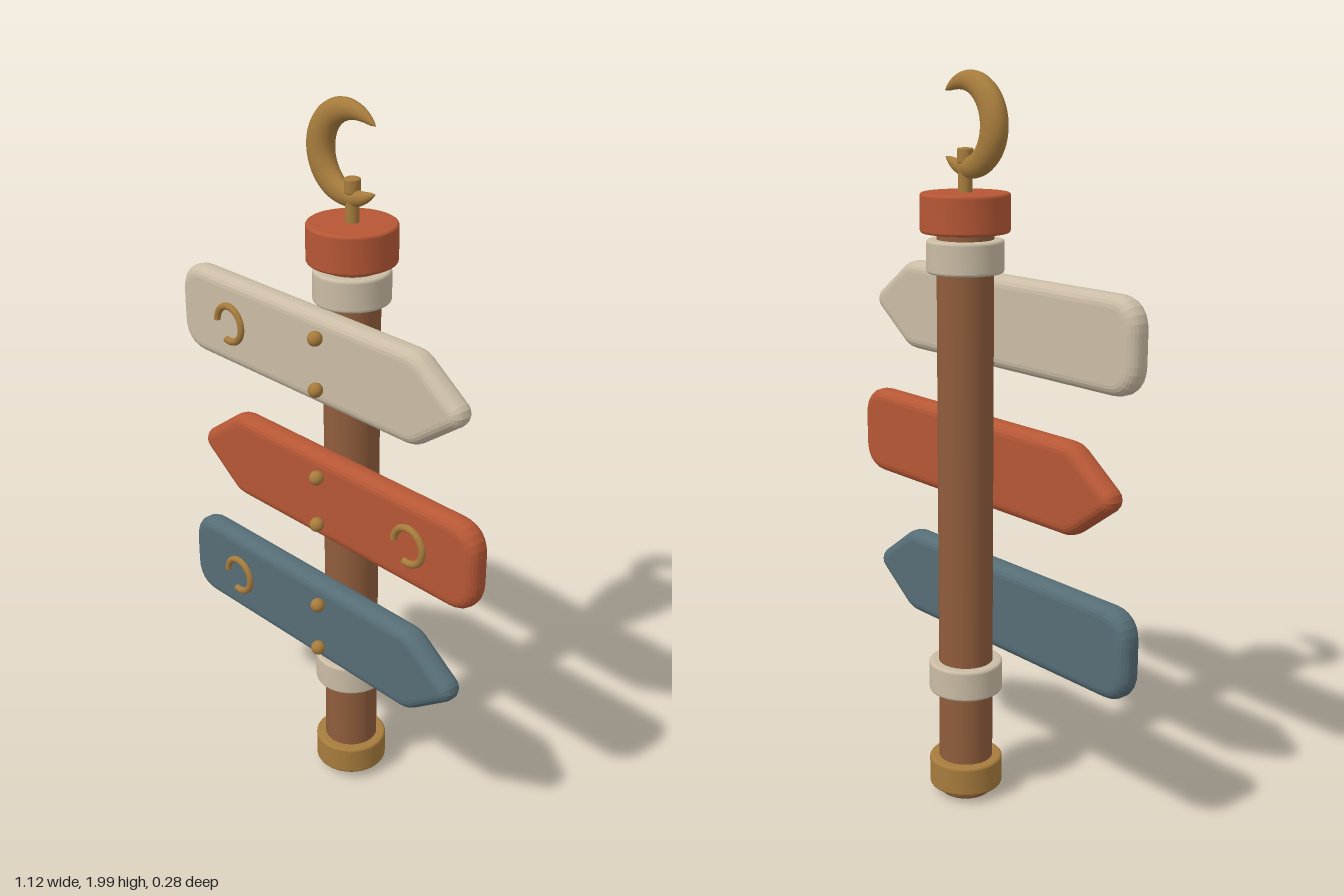
import * as THREE from 'three';
import { toCreasedNormals } from 'three/addons/utils/BufferGeometryUtils.js';

const POST_Z = -0.022;

function material(name, color) {
  const m = new THREE.MeshStandardMaterial({ color });
  m.name = name;
  return m;
}

// Upright cylinder with softly rounded rims
function roundedDrum(radius, y0, y1, bevel) {
  const pts = [new THREE.Vector2(0, y0)];
  for (let i = 0; i <= 4; i++) {
    const a = (i / 4) * Math.PI / 2;
    pts.push(new THREE.Vector2(radius - bevel + bevel * Math.sin(a), y0 + bevel - bevel * Math.cos(a)));
  }
  for (let i = 0; i <= 4; i++) {
    const a = (i / 4) * Math.PI / 2;
    pts.push(new THREE.Vector2(radius - bevel + bevel * Math.cos(a), y1 - bevel + bevel * Math.sin(a)));
  }
  pts.push(new THREE.Vector2(0, y1));
  return toCreasedNormals(new THREE.LatheGeometry(pts, 48), 0.18);
}

// Arrow board: rounded butt on one side, point on the other (dir = +1 points to +x)
function arrowBoard(dir) {
  const b = 0.03, h = 0.095, left = -0.528, r = 0.055;
  const s = new THREE.Shape();
  s.moveTo(left + r, -h);
  s.lineTo(0.31, -h);
  s.quadraticCurveTo(0.332, -h, 0.348, -h + 0.013);
  s.lineTo(0.45, -0.008);
  s.quadraticCurveTo(0.464, 0, 0.45, 0.008);
  s.lineTo(0.348, h - 0.013);
  s.quadraticCurveTo(0.332, h, 0.31, h);
  s.lineTo(left + r, h);
  s.quadraticCurveTo(left, h, left, h - r);
  s.lineTo(left, -h + r);
  s.quadraticCurveTo(left, -h, left + r, -h);
  const geo = new THREE.ExtrudeGeometry(s, {
    depth: 0.01, bevelEnabled: true, bevelSize: b, bevelThickness: b, bevelSegments: 5, curveSegments: 6,
  });
  geo.translate(0, 0, -0.005);
  if (dir < 0) geo.rotateY(Math.PI);
  return geo;
}

// Crescent: elliptical cross-sections swept round an arc, tapering to both tips
function crescent() {
  const rings = 56, sides = 20, pos = [], idx = [];
  const start = THREE.MathUtils.degToRad(42), sweep = 2 * (Math.PI - start);
  for (let i = 0; i <= rings; i++) {
    const u = i / rings, t = start + sweep * u;
    const k = Math.max(0, Math.sin(Math.PI * u));
    const w = 0.0015 + 0.039 * Math.pow(k, 0.65);
    const mid = 0.142 - 0.016 * (1 - k) - w;
    for (let j = 0; j < sides; j++) {
      const a = (j / sides) * Math.PI * 2;
      const rad = mid + w * Math.cos(a);
      pos.push(rad * Math.cos(t), rad * Math.sin(t), 0.8 * w * Math.sin(a));
    }
  }
  for (let i = 0; i < rings; i++) {
    for (let j = 0; j < sides; j++) {
      const a = i * sides + j, b = i * sides + (j + 1) % sides;
      const c = a + sides, d = b + sides;
      idx.push(a, b, c, b, d, c);
    }
  }
  // Close the two tips
  const last = rings * sides;
  for (let j = 1; j < sides - 1; j++) {
    idx.push(0, j + 1, j, last, last + j, last + j + 1);
  }
  // Outward order for this sweep direction
  for (let i = 0; i < idx.length; i += 3) [idx[i + 1], idx[i + 2]] = [idx[i + 2], idx[i + 1]];
  const geo = new THREE.BufferGeometry();
  geo.setAttribute('position', new THREE.Float32BufferAttribute(pos, 3));
  geo.setIndex(idx);
  geo.computeVertexNormals();
  return geo;
}

export function createModel() {
  const wood = material('wood', 0x8f5c3c);
  const cream = material('cream paint', 0xcabca5);
  const red = material('rust red paint', 0xb65735);
  const blue = material('slate blue paint', 0x566d76);
  const brass = material('brass', 0xa67b3c);

  const model = new THREE.Group();
  model.name = 'signpost';
  const add = (name, geo, mat, x = 0, y = 0, z = 0, parent = model) => {
    const mesh = new THREE.Mesh(geo, mat);
    mesh.name = name;
    mesh.position.set(x, y, z);
    parent.add(mesh);
    return mesh;
  };

  // Post with its bands and cap
  add('post', roundedDrum(0.075, 0, 1.6, 0.012), wood, 0, 0, POST_Z);
  add('baseBand', roundedDrum(0.102, 0.025, 0.11, 0.008), brass, 0, 0, POST_Z);
  add('lowerCollar', roundedDrum(0.102, 0.312, 0.4, 0.008), cream, 0, 0, POST_Z);
  add('upperCollar', roundedDrum(0.102, 1.483, 1.57, 0.008), cream, 0, 0, POST_Z);
  add('cap', roundedDrum(0.118, 1.587, 1.69, 0.008), red, 0, 0, POST_Z);

  // Finial
  add('finialStem', roundedDrum(0.018, 1.68, 1.78, 0.002), brass, 0, 0, POST_Z);
  add('finialKnob', roundedDrum(0.021, 1.762, 1.802, 0.005), brass, 0, 0, POST_Z);
  add('crescent', crescent(), brass, -0.013, 1.86, POST_Z);

  // Arrow signs, each with a horseshoe ring and two nails
  const ringGeo = new THREE.TorusGeometry(0.05, 0.01, 12, 40, Math.PI * 1.6);
  const nailGeo = new THREE.SphereGeometry(0.02, 20, 14);
  const signs = [
    ['topSign', 1.35, 1, cream],
    ['middleSign', 0.953, -1, red],
    ['bottomSign', 0.553, 1, blue],
  ];
  for (const [name, y, dir, mat] of signs) {
    const sign = new THREE.Group();
    sign.name = name;
    sign.position.set(0, y, 0.07);
    model.add(sign);
    add('board', arrowBoard(dir), mat, 0, 0, 0, sign);
    const ring = add('horseshoe', ringGeo, brass, -0.343 * dir, 0, 0.038, sign);
    ring.rotation.z = -Math.PI * 0.6;
    for (const side of [-1, 1]) add('nail', nailGeo, brass, 0.015, 0.071 * side, 0.051, sign);
  }
  return model;
}
